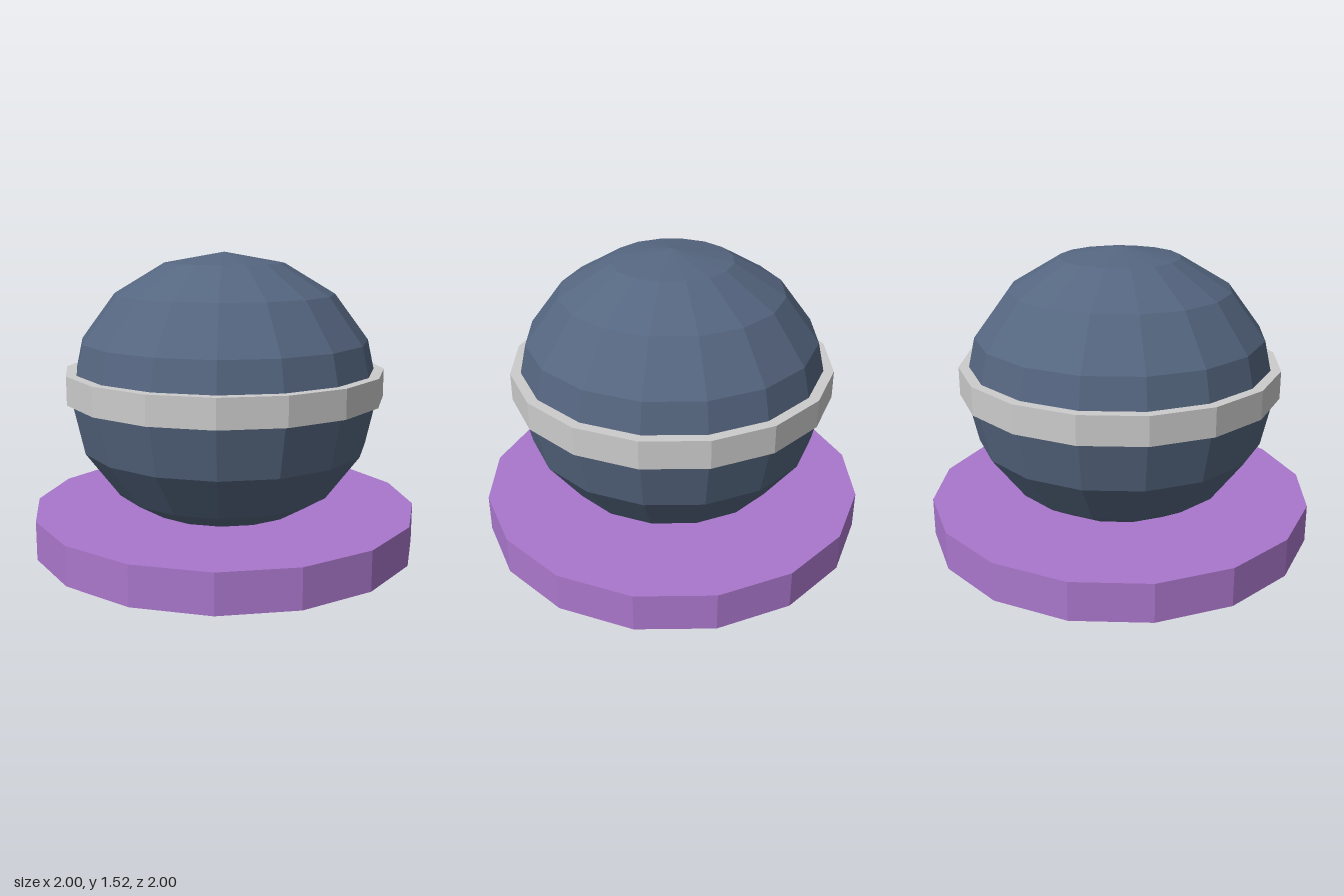
import * as THREE from 'three';

const SIDES = 16;

const flat = (name, color) => {
  const material = new THREE.MeshStandardMaterial({ color, flatShading: true });
  material.name = name;
  return material;
};

export function createModel() {
  const purple = flat('purple', 0xaa77cc);
  const slate = flat('slate blue', 0x556680);
  const grey = flat('light grey', 0xcccccc);

  const model = new THREE.Group();
  model.name = 'bandedSphereOnBase';

  const add = (name, geometry, material, y) => {
    const mesh = new THREE.Mesh(geometry, material);
    mesh.name = name;
    mesh.position.y = y;
    model.add(mesh);
  };

  // Wide round plinth
  add('base', new THREE.CylinderGeometry(1, 1, 0.2, SIDES), purple, 0.1);

  // Slightly squashed faceted ball, sunk into the base
  add('body', new THREE.SphereGeometry(0.8, SIDES, 8).scale(1, 0.9, 1), slate, 0.8);

  // Flat band around the ball, just above its equator
  add('band', new THREE.CylinderGeometry(0.825, 0.825, 0.145, SIDES), grey, 0.8525);

  return model;
}
